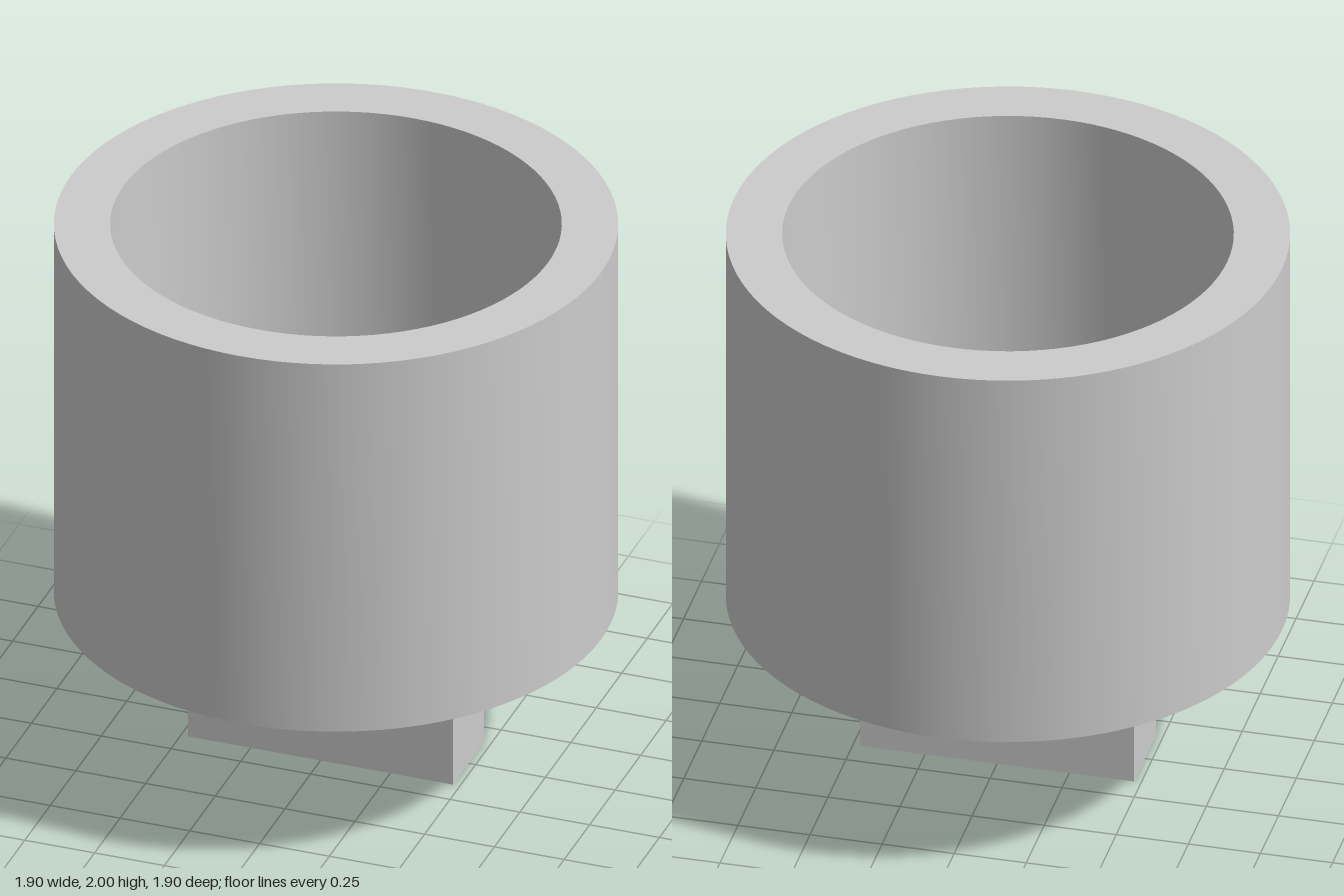
import * as THREE from 'three';
import { toCreasedNormals } from 'three/addons/utils/BufferGeometryUtils.js';

export function createModel() {
  const model = new THREE.Group();
  model.name = 'cupWithKey';

  const grey = new THREE.MeshStandardMaterial({ color: 0xcccccc });
  grey.name = 'light grey';

  const outer = 0.95, inner = 0.76;
  const bottom = 0.575, floor = 0.765, top = 2;

  // Open cup: thick wall and a closed floor
  const profile = [
    [0, bottom], [outer, bottom], [outer, top],
    [inner, top], [inner, floor], [0, floor],
  ].map(([r, y]) => new THREE.Vector2(r, y));
  const cup = new THREE.Mesh(
    toCreasedNormals(new THREE.LatheGeometry(profile, 96), Math.PI / 6), grey);
  cup.name = 'cup';
  model.add(cup);

  // Separate key block below the cup, with a small gap
  const keyHeight = 0.49;
  const key = new THREE.Mesh(new THREE.BoxGeometry(0.95, keyHeight, 0.305), grey);
  key.name = 'keyBlock';
  key.position.y = keyHeight / 2;
  model.add(key);

  return model;
}
